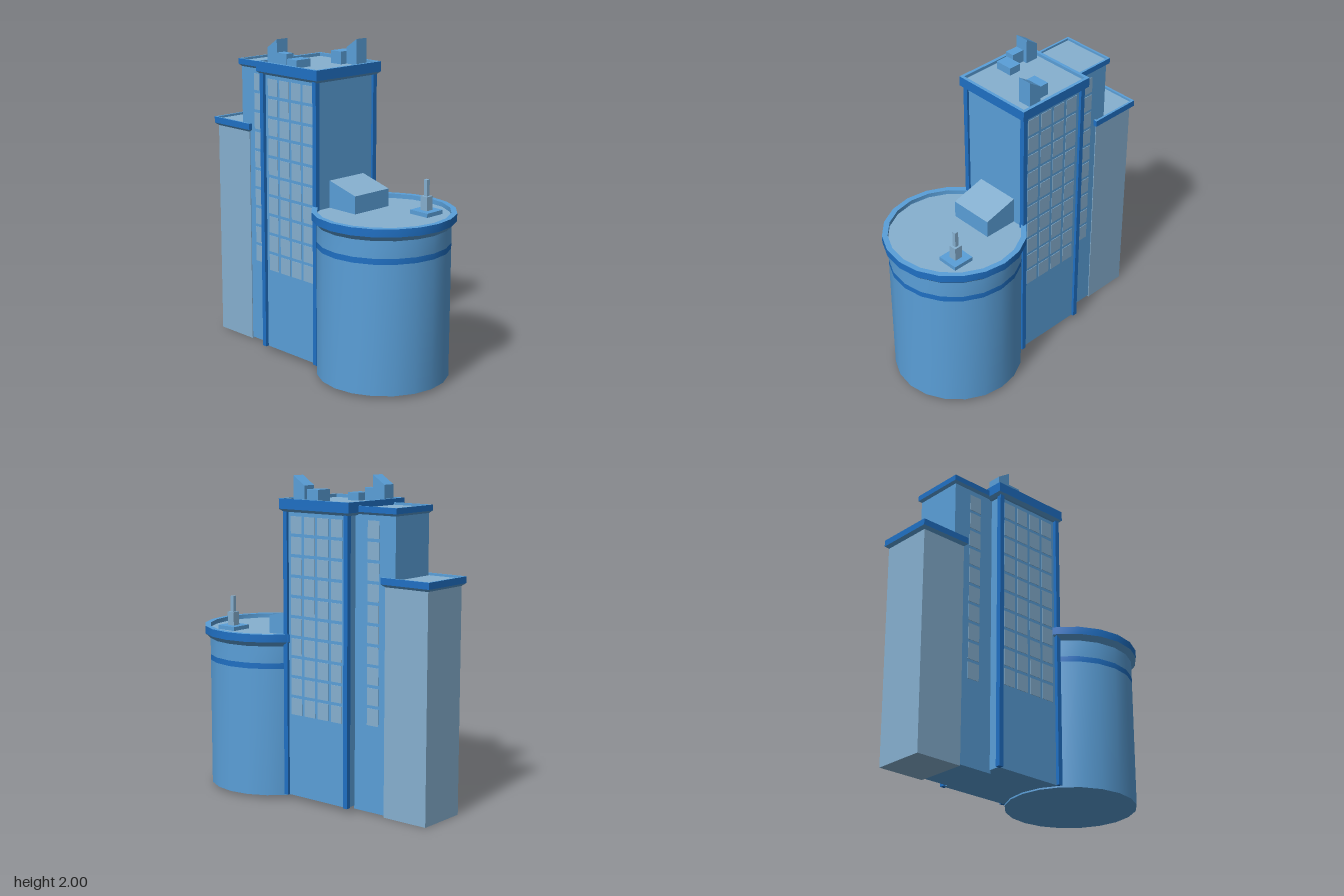
import * as THREE from 'three';
import { toCreasedNormals } from 'three/addons/utils/BufferGeometryUtils.js';

const material = (name, color) => {
  const m = new THREE.MeshStandardMaterial({ color });
  m.name = name;
  return m;
};

export function createModel() {
  const model = new THREE.Group();
  model.name = 'towerBlocks';
  const wall = material('wallBlue', 0x5a9fd8);
  const trim = material('trimBlue', 0x1f70c4);
  const pale = material('paleBlueGrey', 0x86b0d0);

  const add = (parent, name, geometry, mat) => {
    const mesh = new THREE.Mesh(geometry, mat);
    mesh.name = name;
    parent.add(mesh);
    return mesh;
  };
  const box = (parent, name, mat, x0, x1, y0, y1, z0, z1) => {
    const mesh = add(parent, name, new THREE.BoxGeometry(x1 - x0, y1 - y0, z1 - z0), mat);
    mesh.position.set((x0 + x1) / 2, (y0 + y1) / 2, (z0 + z1) / 2);
    return mesh;
  };
  const group = (name) => {
    const g = new THREE.Group();
    g.name = name;
    model.add(g);
    return g;
  };

  // Plan outlines, grown outward by d, counterclockwise from above; null gives the centre
  const rectangle = (x0, x1, z0, z1) => (d) => d === null
    ? Array(4).fill([(x0 + x1) / 2, (z0 + z1) / 2])
    : [[x1 + d, z1 + d], [x1 + d, z0 - d], [x0 - d, z0 - d], [x0 - d, z1 + d]];
  const circle = (x, z, r, n) => (d) => Array.from({ length: n }, (_, i) => {
    const a = (i / n) * Math.PI * 2;
    const s = d === null ? 0 : r + d;
    return [x + s * Math.cos(a), z - s * Math.sin(a)];
  });

  // Joins successive outlines [offset, height, name, material] into bands
  const loft = (parent, outline, profile) => {
    for (let k = 1; k < profile.length; k++) {
      const [d0, y0] = profile[k - 1];
      const [d1, y1, name, mat] = profile[k];
      const a = outline(d0), b = outline(d1), p = [];
      const n = a.length;
      for (let i = 0; i < n; i++) {
        const j = (i + 1) % n;
        const A = [a[i][0], y0, a[i][1]], B = [a[j][0], y0, a[j][1]];
        const C = [b[j][0], y1, b[j][1]], D = [b[i][0], y1, b[i][1]];
        if (d0 !== null) p.push(...A, ...B, ...C);
        if (d1 !== null) p.push(...A, ...C, ...D);
      }
      const g = new THREE.BufferGeometry();
      g.setAttribute('position', new THREE.Float32BufferAttribute(p, 3));
      add(parent, name, toCreasedNormals(g, 0.5), mat);
    }
  };
  // Cornice, parapet and sunken roof shared by all blocks
  const roof = (out, inner, yBevel, yLow, yTop, yFloor, start = 0) => [
    [start, yBevel, 'soffit', wall],
    [out, yLow, 'cornice', wall],
    [out, yTop, 'corniceFace', trim],
    [inner, yTop, 'parapetTop', wall],
    [inner, yFloor, 'parapetInside', wall],
    [null, yFloor, 'roofFloor', pale],
  ];
  // Ten rows of window plates on the front and back
  const windows = (parent, columns, zFront, zBack) => {
    for (const x of columns) {
      for (let row = 0; row < 10; row++) {
        const y = 1.706 - row * 0.1234;
        for (const z of [zFront, zBack]) {
          box(parent, 'window', pale, x - 0.042, x + 0.042, y - 0.052, y + 0.052, z - 0.003, z + 0.003);
        }
      }
    }
  };
  // Box with a slanted top
  const wedge = (parent, name, mats, x0, x1, y, yLeft, yRight, z0, z1) => {
    const g = new THREE.BoxGeometry(x1 - x0, 1, z1 - z0);
    const p = g.attributes.position;
    for (let i = 0; i < p.count; i++) {
      p.setY(i, p.getY(i) < 0 ? y : p.getX(i) < 0 ? yLeft : yRight);
    }
    g.computeVertexNormals();
    add(parent, name, g, mats).position.set((x0 + x1) / 2, 0, (z0 + z1) / 2);
  };

  // Main tower
  const main = group('mainTower');
  loft(main, rectangle(-0.345, 0.125, -0.24, 0.23), [
    [null, 0.03], [0, 0.03, 'base', wall], [0, 1.783, 'walls', wall],
    ...roof(0.033, 0.013, 1.783, 1.8, 1.862, 1.842, 0.015),
  ]);
  for (const x of [-0.36, 0.11]) {
    for (const z of [-0.257, 0.222]) {
      box(main, 'cornerPillar', trim, x, x + 0.03, 0.03, 1.79, z, z + 0.03);
    }
  }
  windows(main, [-0.265, -0.16, -0.056, 0.048], 0.23, -0.24);

  // Rooftop equipment
  const plant = group('roofEquipment');
  wedge(plant, 'frontVent', wall, -0.336, -0.25, 1.84, 1.943, 2, 0.12, 0.207);
  wedge(plant, 'backVent', wall, -0.012, 0.073, 1.84, 1.943, 2, -0.235, -0.148);
  box(plant, 'frontUnit', wall, -0.25, -0.165, 1.84, 1.92, 0.148, 0.207);
  box(plant, 'lowUnit', wall, -0.165, -0.083, 1.84, 1.89, 0.087, 0.2);
  box(plant, 'backUnit', wall, -0.097, -0.012, 1.84, 1.92, -0.21, -0.1);

  // Middle wing
  const wing = group('middleWing');
  loft(wing, rectangle(-0.64, -0.34, -0.165, 0.155), [
    [null, 0.01], [0, 0.01, 'base', wall], [0, 1.79, 'walls', wall],
    ...roof(0.015, 0.002, 1.79, 1.804, 1.839, 1.825),
  ]);
  windows(wing, [-0.48], 0.155, -0.165);

  // Low outer wing
  loft(group('outerWing'), rectangle(-0.875, -0.57, -0.17, 0.16), [
    [null, 0], [0, 0, 'base', pale], [0, 1.38, 'walls', pale],
    ...roof(0.019, 0.005, 1.38, 1.396, 1.436, 1.422),
  ]);

  // Round hall
  const hall = group('roundHall');
  loft(hall, circle(0.46, 0, 0.403, 20), [
    [null, 0.02], [0, 0.02, 'base', wall], [0, 0.82, 'lowerWall', wall],
    [0, 0.855, 'stripe', trim], [0, 0.96, 'upperWall', wall],
    ...roof(0.031, -0.003, 0.96, 0.99, 1.038, 1.01),
  ]);
  wedge(hall, 'roofHouse', [wall, wall, pale, wall, wall, wall], 0.12, 0.343, 1.0, 1.18, 1.12, -0.16, 0.125);

  // Stepped mast
  box(hall, 'mastPad', wall, 0.555, 0.692, 1.0, 1.035, -0.26, -0.125);
  box(hall, 'mastBase', pale, 0.598, 0.65, 1.03, 1.12, -0.217, -0.167);
  box(hall, 'mast', pale, 0.612, 0.636, 1.11, 1.22, -0.204, -0.18);

  return model;
}
